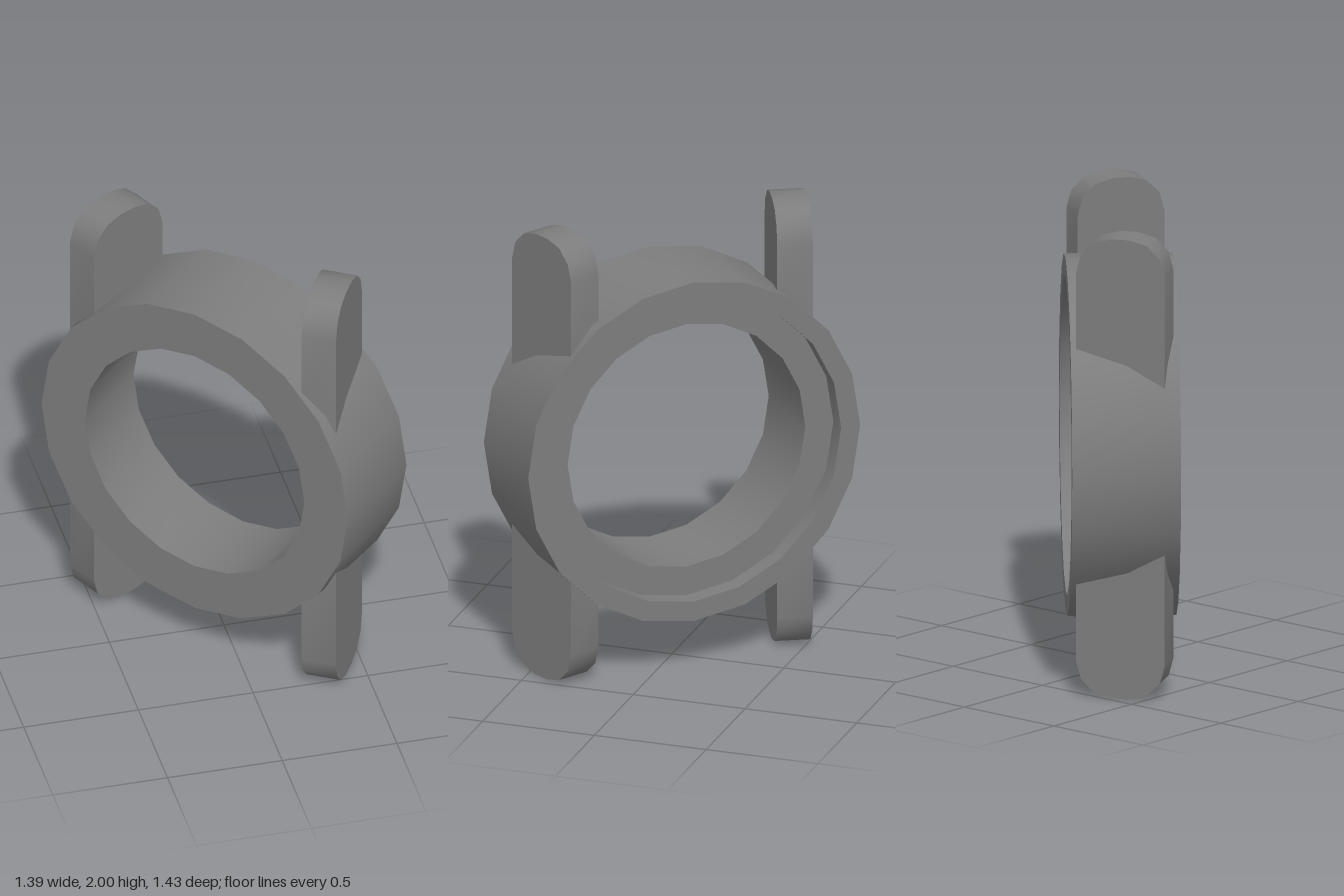
import * as THREE from 'three';
import { toCreasedNormals } from 'three/addons/utils/BufferGeometryUtils.js';

const material = new THREE.MeshStandardMaterial({ color: 0x7d7d7d });

// Ring with a through hole and a shallow recess in its back face
function makeRing() {
  const profile = [
    [0.768, -0.23], [0.768, 0.23], [0.55, 0.23], [0.55, -0.15],
    [0.68, -0.15], [0.68, -0.23], [0.768, -0.23],
  ].map(([r, y]) => new THREE.Vector2(r, y));
  const geometry = new THREE.LatheGeometry(profile, 20).rotateX(Math.PI / 2);
  const ring = new THREE.Mesh(toCreasedNormals(geometry, 0.6), material);
  ring.name = 'caseRing';
  return ring;
}

// Flat lug with a rounded tip; its root is sunk into the ring wall
function makeLug(side) {
  const half = 0.193, radius = 0.155, thickness = 0.152, rootRadius = 0.725;
  const points = [new THREE.Vector2(-half, 0.4 * side), new THREE.Vector2(half, 0.4 * side)];
  for (const end of [1, -1]) {
    for (let i = 0; i <= 3; i++) {
      const a = (end > 0 ? i : 3 - i) * Math.PI / 6;
      points.push(new THREE.Vector2(
        end * (half - radius + radius * Math.cos(a)),
        side * (1 - radius + radius * Math.sin(a))));
    }
  }
  const geometry = new THREE.ExtrudeGeometry(new THREE.Shape(points), { depth: thickness, bevelEnabled: false });
  geometry.translate(0, 0, -thickness / 2).rotateY(-1.29).translate(0.54, 0, 0);

  // Root corners follow a circle inside the wall, clear of hole and recess
  const position = geometry.attributes.position;
  for (let i = 0; i < position.count; i++) {
    if (Math.abs(position.getY(i)) < 0.5) {
      position.setY(i, side * Math.sqrt(rootRadius ** 2 - position.getX(i) ** 2));
    }
  }
  const lug = new THREE.Mesh(toCreasedNormals(geometry, 0.6), material);
  lug.name = side > 0 ? 'upperLug' : 'lowerLug';
  return lug;
}

export function createModel() {
  const model = new THREE.Group();
  model.name = 'watchCase';
  model.add(makeRing());

  // Two pairs of lugs, the second turned half a turn about the ring axis
  for (const turn of [0, 1]) {
    const pair = new THREE.Group();
    pair.name = turn ? 'rightLugs' : 'leftLugs';
    pair.add(makeLug(1), makeLug(-1));
    pair.rotation.z = turn * Math.PI;
    model.add(pair);
  }

  model.rotation.y = -0.817;
  model.position.y = 1;
  const root = new THREE.Group();
  root.add(model);
  return root;
}
